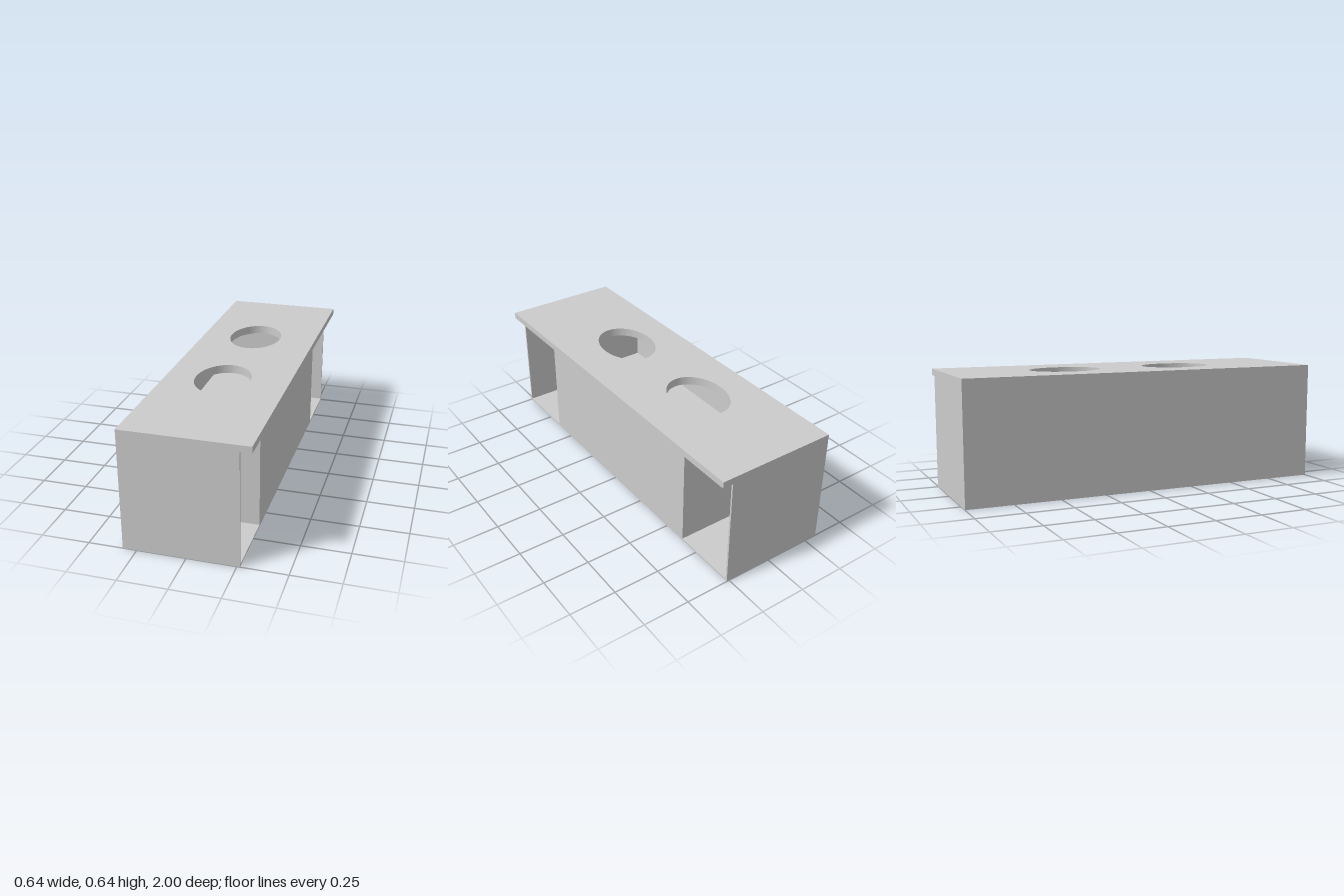
import * as THREE from 'three';

const material = new THREE.MeshStandardMaterial({ color: 0xcccccc });
const T = 0.01; // panel thickness
const BACK = -0.322, FRONT = 0.265, BODY_TOP = 0.602;
const DIVIDER = 0.637; // half length of the closed middle bay

function add(group, name, geometry) {
  const mesh = new THREE.Mesh(geometry, material);
  mesh.name = name;
  group.add(mesh);
}

// Box given by its limits on each axis
function panel(group, name, [x0, x1], [y0, y1], [z0, z1]) {
  const geometry = new THREE.BoxGeometry(x1 - x0, y1 - y0, z1 - z0);
  geometry.translate((x0 + x1) / 2, (y0 + y1) / 2, (z0 + z1) / 2);
  add(group, name, geometry);
}

// Horizontal slab pierced by the two oval openings
function piercedSlab(group, name, [x0, x1], [y0, y1], halfLength) {
  const shape = new THREE.Shape([
    new THREE.Vector2(x0, -halfLength), new THREE.Vector2(x1, -halfLength),
    new THREE.Vector2(x1, halfLength), new THREE.Vector2(x0, halfLength),
  ]);
  for (const z of [-0.363, 0.298]) {
    shape.holes.push(new THREE.Path().absellipse(-0.022, -z, 0.144, 0.194, 0, Math.PI * 2, true));
  }
  const geometry = new THREE.ExtrudeGeometry(shape, { depth: y1 - y0, bevelEnabled: false, curveSegments: 48 });
  geometry.rotateX(-Math.PI / 2).translate(0, y0, 0);
  add(group, name, geometry);
}

export function createModel() {
  const model = new THREE.Group();
  model.name = 'counterCabinet';

  // Worktop overhanging one long side, and the carcass top below it
  piercedSlab(model, 'worktop', [BACK, 0.322], [BODY_TOP, 0.637], 1);
  piercedSlab(model, 'carcassTop', [BACK + T, FRONT], [BODY_TOP - T, BODY_TOP], 1 - T);

  // Carcass
  panel(model, 'floor', [BACK, FRONT], [0, T], [-1, 1]);
  panel(model, 'backPanel', [BACK, BACK + T], [T, BODY_TOP], [-1, 1]);
  panel(model, 'middlePanel', [FRONT - T, FRONT], [T, BODY_TOP - T], [-DIVIDER, DIVIDER]);

  // End panels and the dividers that form the two open cubbies
  for (const side of [-1, 1]) {
    const span = (a, b) => [side * a, side * b].sort((p, q) => p - q);
    panel(model, 'endPanel', [BACK + T, FRONT], [T, BODY_TOP], span(1 - T, 1));
    panel(model, 'divider', [BACK + T, FRONT - T], [T, BODY_TOP - T], span(DIVIDER - T, DIVIDER));
  }

  // Shelf inside the closed bay, below the openings
  panel(model, 'innerShelf', [BACK + T, FRONT - T], [0.32, 0.33], [-DIVIDER + T, DIVIDER - T]);

  return model;
}
